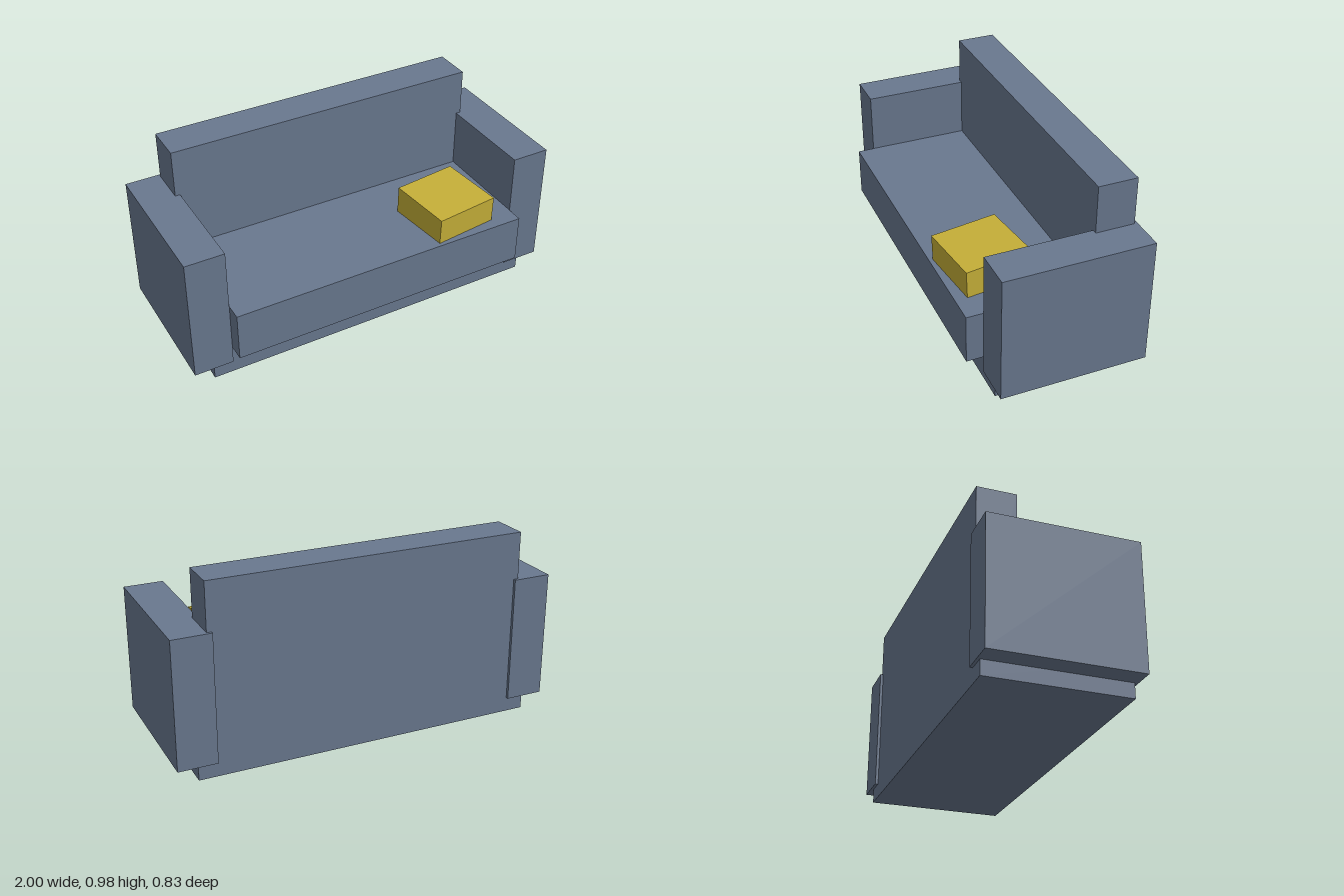
import * as THREE from 'three';

export function createModel() {
  const sofa = new THREE.Group();
  sofa.name = 'sofa';
  const fabric = new THREE.MeshStandardMaterial({ name: 'slate blue fabric', color: 0x69788f });
  const yellow = new THREE.MeshStandardMaterial({ name: 'mustard cushion', color: 0xc5af38 });

  // Box spanning the given [min, max] ranges
  function addBox(name, [x0, x1], [y0, y1], [z0, z1]) {
    const mesh = new THREE.Mesh(new THREE.BoxGeometry(x1 - x0, y1 - y0, z1 - z0), fabric);
    mesh.position.set((x0 + x1) / 2, (y0 + y1) / 2, (z0 + z1) / 2);
    mesh.name = name;
    sofa.add(mesh);
  }

  // Frame and upholstery
  addBox('base', [-0.895, 0.895], [0, 0.168], [-0.402, 0.314]);
  addBox('seat', [-0.8, 0.8], [0.168, 0.424], [-0.21, 0.417]);
  addBox('backrest', [-0.825, 0.825], [0.168, 0.98], [-0.402, -0.203]);

  // Armrests
  addBox('leftArm', [0.8, 1], [0.076, 0.735], [-0.417, 0.331]);
  addBox('rightArm', [-1, -0.8], [0.076, 0.735], [-0.417, 0.331]);

  // Loose cushion, turned and leaning slightly forward
  const cushion = new THREE.Mesh(new THREE.BoxGeometry(0.345, 0.16, 0.345), yellow);
  cushion.name = 'cushion';
  cushion.position.set(0.475, 0.489, 0.207);
  cushion.rotation.set(0.03, 0.12, 0);
  sofa.add(cushion);

  return sofa;
}
